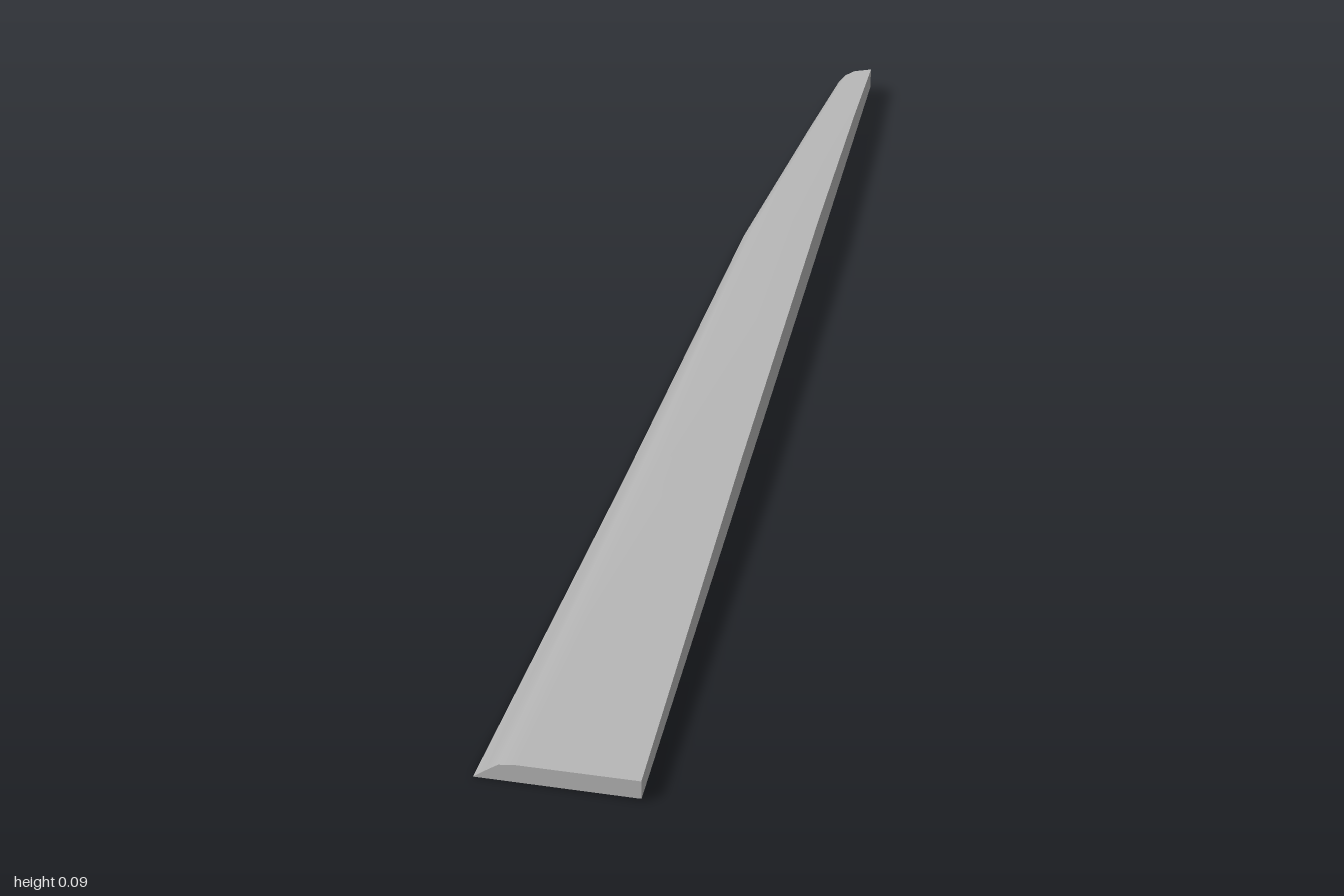
import * as THREE from 'three';

// Cross-sections from front to back: leading edge over the top to the trailing wall,
// then the two lower corners of the wall and chamfer.
const stations = [
  { z: 1, top: [[-0.125, 0], [-0.105, 0.017], [-0.086, 0.032], [-0.06, 0.0365], [0.125, 0.043]], wall: 0.009, keel: [0.121, 0.008] },
  { z: 0.3, top: [[-0.072, 0], [-0.052, 0.035], [-0.03, 0.06], [0, 0.068], [0.125, 0.075]], wall: 0.013, keel: [0.114, 0.005] },
  { z: -0.4, top: [[-0.025, 0.001], [-0.012, 0.035], [0.008, 0.06], [0.035, 0.076], [0.125, 0.085]], wall: 0.016, keel: [0.107, 0.002] },
  { z: -0.8, top: [[0.028, 0.003], [0.037, 0.031], [0.053, 0.052], [0.075, 0.065], [0.125, 0.074]], wall: 0.019, keel: [0.102, 0.001] },
  { z: -1, top: [[0.055, 0.004], [0.062, 0.026], [0.075, 0.042], [0.092, 0.053], [0.125, 0.061]], wall: 0.02, keel: [0.1, 0] },
];

const loopOf = (s) => [...s.top, [0.125, s.wall], s.keel];

function geometryFrom(positions, indices) {
  const geometry = new THREE.BufferGeometry();
  geometry.setAttribute('position', new THREE.Float32BufferAttribute(positions, 3));
  geometry.setIndex(indices);
  geometry.computeVertexNormals();
  return geometry;
}

// Skin running along the length through chosen points of every section
function strip(picks) {
  const positions = [], indices = [], n = picks.length;
  stations.forEach((s, i) => {
    const loop = loopOf(s);
    picks.forEach((p, j) => {
      positions.push(...loop[p], s.z);
      if (i < stations.length - 1 && j < n - 1) {
        const a = i * n + j;
        indices.push(a, a + 1, a + n, a + 1, a + n + 1, a + n);
      }
    });
  });
  return geometryFrom(positions, indices);
}

// Flat end closing a section
function cap(s, facesFront) {
  const loop = loopOf(s), indices = [];
  for (let k = 1; k < loop.length - 1; k++) {
    indices.push(0, ...(facesFront ? [k + 1, k] : [k, k + 1]));
  }
  return geometryFrom(loop.flatMap((p) => [...p, s.z]), indices);
}

export function createModel() {
  const group = new THREE.Group();
  group.name = 'taperedBlade';
  const grey = new THREE.MeshStandardMaterial({ color: 0xb4b4b4 });
  grey.name = 'lightGrey';
  const parts = {
    curvedTop: strip([0, 1, 2, 3, 4]),
    sideWall: strip([4, 5]),
    lowerChamfer: strip([5, 6]),
    underside: strip([6, 0]),
    frontEnd: cap(stations[0], true),
    backEnd: cap(stations[stations.length - 1], false),
  };
  for (const [name, geometry] of Object.entries(parts)) {
    const mesh = new THREE.Mesh(geometry, grey);
    mesh.name = name;
    group.add(mesh);
  }
  return group;
}
